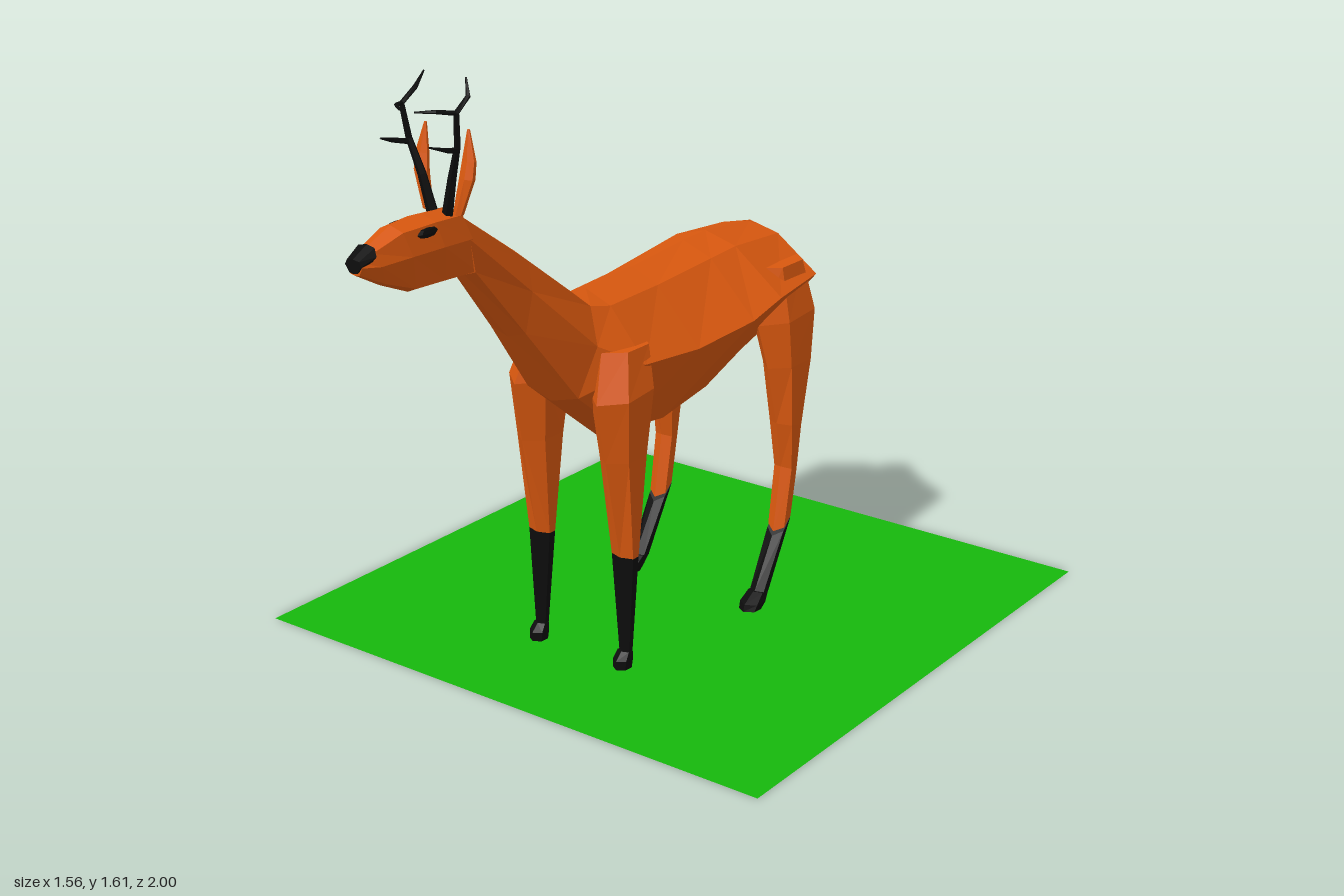
import * as THREE from 'three';
import { ConvexGeometry } from 'three/addons/geometries/ConvexGeometry.js';

const paint = (color, side = THREE.FrontSide) =>
  new THREE.MeshStandardMaterial({ color, flatShading: true, side });
const COAT = paint(0xd9580f), BLACK = paint(0x0c0c0c), PALE = paint(0xbdb48c);
const GRASS = paint(0x16b80c, THREE.DoubleSide);

// Skin a list of rings (equal numbers of points) and close both ends
function loft(rings) {
  const n = rings[0].length, pos = rings.flat(2), idx = [];
  for (let i = 0; i < rings.length - 1; i++)
    for (let j = 0; j < n; j++) {
      const a = i * n + j, b = i * n + (j + 1) % n;
      idx.push(a, b, a + n, b, b + n, a + n);
    }
  const last = (rings.length - 1) * n;
  for (let j = 1; j < n - 1; j++) idx.push(0, j + 1, j, last, last + j, last + j + 1);
  // Turn the faces outward if the enclosed volume comes out negative
  const p = (i) => new THREE.Vector3().fromArray(pos, i * 3);
  let volume = 0;
  for (let i = 0; i < idx.length; i += 3)
    volume += p(idx[i]).dot(p(idx[i + 1]).cross(p(idx[i + 2])));
  if (volume < 0) idx.reverse();
  const g = new THREE.BufferGeometry();
  g.setAttribute('position', new THREE.Float32BufferAttribute(pos, 3));
  g.setIndex(idx);
  g.computeVertexNormals();
  return g;
}

// Symmetric ring: top and bottom point, and three half-widths in between
function bodyRing([zt, yt, zb, yb, w1, w2, w3]) {
  const at = (x, f) => [x, yt + (yb - yt) * f, zt + (zb - zt) * f];
  return [at(0, 0), at(w1, 0.08), at(w2, 0.42), at(w3, 0.92), at(0, 1),
    at(-w3, 0.92), at(-w2, 0.42), at(-w1, 0.08)];
}

// Six-sided leg ring: centre x, half-width, front z and y, back z and y
const legRing = (s) => ([x, hw, zf, yf, zb, yb]) =>
  Array.from({ length: 6 }, (_, k) => {
    const a = k * Math.PI / 3, f = (1 - Math.cos(a)) / 2;
    return [s * (x + hw * 1.15 * Math.sin(a)), yf + (yb - yf) * f, zf + (zb - zf) * f];
  });

// Tapered five-sided branch through points [x, y, z, radius]
function branch(points, s) {
  const v = points.map(([x, y, z]) => new THREE.Vector3(s * x, y, z));
  return loft(points.map(([, , , r], i) => {
    const t = v[Math.min(i + 1, v.length - 1)].clone().sub(v[Math.max(i - 1, 0)]).normalize();
    const ref = new THREE.Vector3(0.6, 0.1, -0.8);
    const u = new THREE.Vector3().crossVectors(t, ref).normalize();
    const w = new THREE.Vector3().crossVectors(t, u);
    return Array.from({ length: 5 }, (_, k) => {
      const a = k * Math.PI * 0.4;
      return v[i].clone().addScaledVector(u, r * Math.cos(a))
        .addScaledVector(w, r * Math.sin(a)).toArray();
    });
  }));
}

export function createModel() {
  const root = new THREE.Group();
  const add = (name, geometry, material) => {
    const m = new THREE.Mesh(geometry, material);
    m.name = name;
    root.add(m);
    return m;
  };

  // Grass sheet
  add('ground', new THREE.PlaneGeometry(1.56, 1.555).rotateX(-Math.PI / 2)
    .translate(0, 0, -0.2225), GRASS);

  // Neck and trunk, front to back
  add('body', loft([
    [0.70, 1.305, 0.64, 1.13, 0.04, 0.052, 0.04],
    [0.46, 1.145, 0.49, 0.94, 0.045, 0.065, 0.055],
    [0.24, 0.985, 0.33, 0.73, 0.06, 0.105, 0.08],
    [0.19, 0.985, 0.15, 0.585, 0.075, 0.175, 0.08],
    [0.00, 0.995, -0.02, 0.565, 0.08, 0.205, 0.085],
    [-0.22, 1.013, -0.20, 0.60, 0.09, 0.232, 0.09],
    [-0.32, 1.017, -0.35, 0.67, 0.095, 0.235, 0.1],
    [-0.53, 0.998, -0.53, 0.73, 0.09, 0.215, 0.1],
    [-0.575, 0.955, -0.58, 0.77, 0.05, 0.075, 0.05],
  ].map(bodyRing)), COAT);

  // Head, and the nose cap at its end
  add('head', loft([
    [0.69, 1.303, 0.63, 1.13, 0.04, 0.052, 0.035],
    [0.78, 1.307, 0.74, 1.135, 0.043, 0.056, 0.035],
    [0.88, 1.303, 0.83, 1.137, 0.035, 0.048, 0.03],
    [0.965, 1.268, 0.92, 1.175, 0.022, 0.034, 0.022],
    [0.995, 1.25, 0.995, 1.215, 0.015, 0.022, 0.014],
  ].map(bodyRing)), COAT);
  add('nose', loft([
    [0.955, 1.277, 0.97, 1.225, 0.024, 0.034, 0.014],
    [1.0, 1.253, 1.0, 1.22, 0.018, 0.024, 0.012],
  ].map(bodyRing)), BLACK);

  // Tail
  add('tail', loft([
    [-0.52, 1.0, -0.56, 0.89, 0.03, 0.05, 0.03],
    [-0.60, 0.955, -0.61, 0.865, 0.035, 0.058, 0.03],
    [-0.66, 0.90, -0.655, 0.815, 0.025, 0.04, 0.02],
    [-0.712, 0.845, -0.70, 0.785, 0.004, 0.01, 0.004],
  ].map(bodyRing)), COAT);

  const frontUpper = [
    [0.11, 0.05, 0.27, 0.86, 0.10, 0.86],
    [0.13, 0.06, 0.315, 0.74, 0.11, 0.76],
    [0.133, 0.046, 0.285, 0.58, 0.14, 0.58],
    [0.135, 0.034, 0.23, 0.31, 0.185, 0.31],
  ];
  const frontLower = [
    [0.135, 0.034, 0.23, 0.31, 0.185, 0.31],
    [0.138, 0.016, 0.222, 0.045, 0.195, 0.045],
  ];
  const frontHoof = [
    [0.138, 0.018, 0.228, 0.048, 0.195, 0.045],
    [0.138, 0.021, 0.25, 0.028, 0.192, 0.025],
    [0.138, 0.02, 0.25, 0.004, 0.197, 0.002],
  ];
  const hindUpper = [
    [0.14, 0.055, -0.35, 0.93, -0.54, 0.93],
    [0.165, 0.06, -0.33, 0.78, -0.572, 0.80],
    [0.185, 0.046, -0.35, 0.66, -0.535, 0.66],
    [0.198, 0.036, -0.378, 0.50, -0.467, 0.48],
    [0.2, 0.028, -0.40, 0.37, -0.448, 0.35],
    [0.2, 0.026, -0.37, 0.19, -0.43, 0.24],
  ];
  const hindLower = [
    [0.2, 0.026, -0.365, 0.178, -0.431, 0.238],
    [0.202, 0.022, -0.283, 0.045, -0.325, 0.035],
  ];
  const hindHoof = [
    [0.202, 0.023, -0.275, 0.046, -0.325, 0.038],
    [0.205, 0.028, -0.23, 0.024, -0.31, 0.02],
    [0.205, 0.025, -0.225, 0.006, -0.29, 0.002],
  ];

  for (const [s, side] of [[1, 'left'], [-1, 'right']]) {
    const leg = (name, rows, mat) => add(`${side} ${name}`, loft(rows.map(legRing(s))), mat);
    leg('front leg', frontUpper, COAT);
    leg('front shin', frontLower, BLACK);
    leg('front hoof', frontHoof, BLACK);
    leg('hind leg', hindUpper, COAT);
    leg('hind shin', hindLower, BLACK);
    leg('hind hoof', hindHoof, BLACK);

    // Leaf-shaped ear
    leg('ear', [
      [0.045, 0.012, 0.715, 1.295, 0.695, 1.295],
      [0.068, 0.02, 0.708, 1.38, 0.688, 1.38],
      [0.07, 0.018, 0.70, 1.42, 0.684, 1.42],
      [0.064, 0.003, 0.688, 1.49, 0.682, 1.49],
    ], COAT);

    // Almond eye
    const eye = new THREE.SphereGeometry(1, 8, 4);
    eye.scale(0.009, 0.012, 0.034).translate(s * 0.047, 1.278, 0.81);
    add(`${side} eye`, eye, BLACK);

    // Antler: main beam and two tines
    const antler = new THREE.Group();
    antler.name = `${side} antler`;
    for (const [name, path] of [
      ['beam', [[0.022, 1.29, 0.715, 0.014], [0.045, 1.38, 0.722, 0.011],
        [0.072, 1.46, 0.732, 0.008], [0.081, 1.54, 0.743, 0.007],
        [0.078, 1.57, 0.70, 0.006], [0.062, 1.608, 0.687, 0.002]]],
      ['upper tine', [[0.08, 1.54, 0.745, 0.006], [0.058, 1.547, 0.785, 0.005],
        [0.022, 1.546, 0.815, 0.002]]],
      ['lower tine', [[0.07, 1.452, 0.73, 0.007], [0.083, 1.462, 0.775, 0.006],
        [0.072, 1.477, 0.825, 0.002]]],
    ]) {
      const m = new THREE.Mesh(branch(path, s), BLACK);
      m.name = name;
      antler.add(m);
    }
    root.add(antler);

    // Pale rump patch beside and below the tail
    const patch = [[0.05, 0.97, -0.565], [0.11, 0.91, -0.57], [0.065, 0.85, -0.605],
      [0.008, 0.80, -0.59], [0.01, 0.88, -0.605], [0.04, 0.88, -0.5]];
    add(`${side} rump patch`, new ConvexGeometry(
      patch.map(([x, y, z]) => new THREE.Vector3(s * x, y, z))), PALE);
  }
  return root;
}
